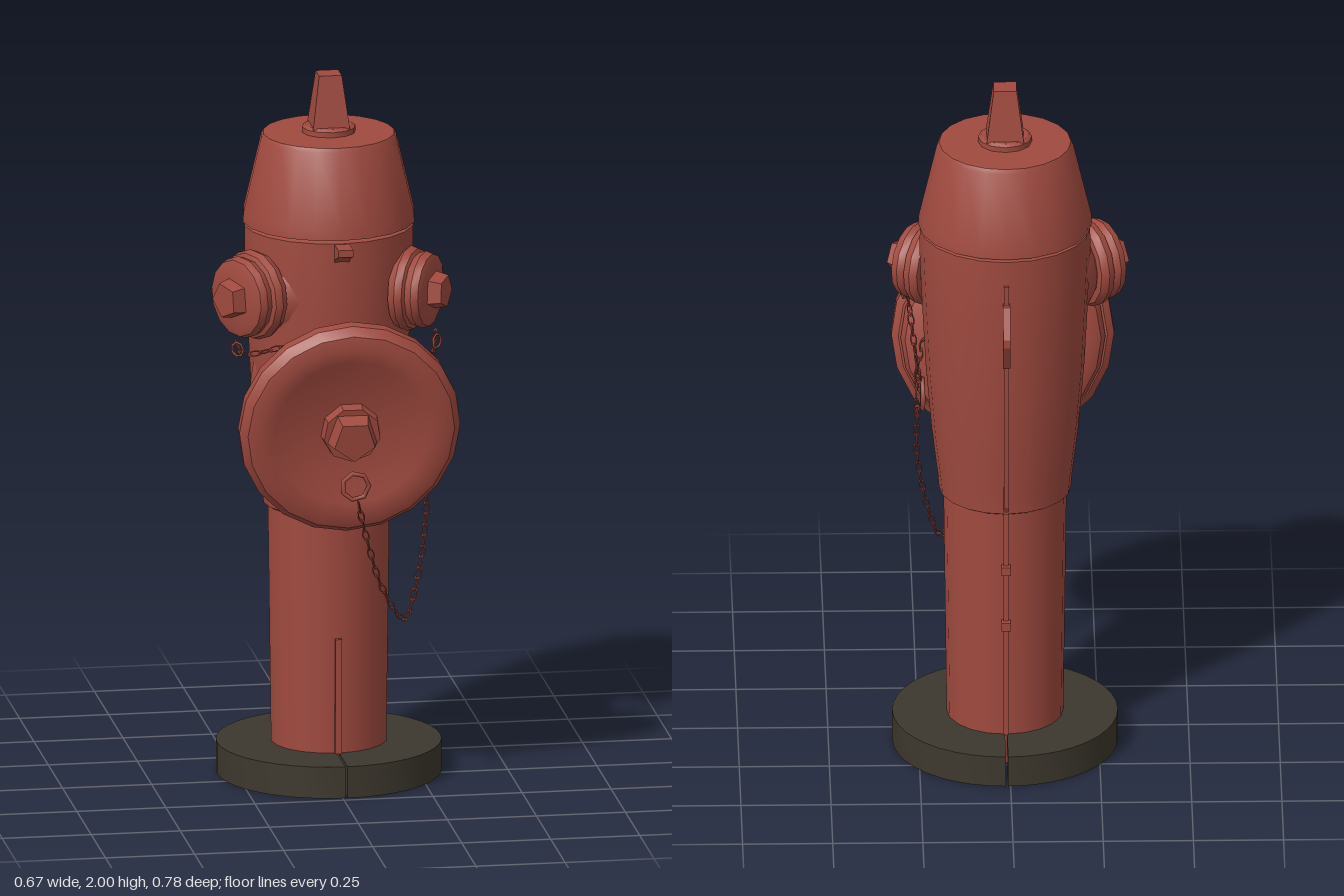
import * as THREE from 'three';
import { toCreasedNormals } from 'three/addons/utils/BufferGeometryUtils.js';

const CX = 0.01, CZ = -0.08; // vertical axis of the barrel
const UP = new THREE.Vector3(0, 1, 0);

export function createModel() {
  const root = new THREE.Group();
  root.name = 'fireHydrant';
  const red = new THREE.MeshStandardMaterial({ name: 'red paint', color: 0xa04a3f });
  const dark = new THREE.MeshStandardMaterial({ name: 'dark base', color: 0x3d382e });

  function add(parent, name, geometry, material = red, x = 0, y = 0, z = 0) {
    const mesh = new THREE.Mesh(geometry, material);
    mesh.name = name;
    mesh.position.set(x, y, z);
    parent.add(mesh);
    return mesh;
  }

  // Turned part with crisp edges; profile is [radius, height] from low to high
  function turned(profile, sides = 20) {
    const points = profile.map(([r, h]) => new THREE.Vector2(r, h));
    return toCreasedNormals(new THREE.LatheGeometry(points, sides), 0.6);
  }

  // Flat-faced prism or frustum standing on height h
  function prism(top, bottom, h, height, sides) {
    const g = new THREE.CylinderGeometry(top, bottom, height, sides);
    return toCreasedNormals(g.translate(0, h + height / 2, 0), 0.4);
  }

  // Plate outlined in [z, y], centred on the barrel's middle plane
  function plate(outline, width, hole) {
    const shape = new THREE.Shape(outline.map(([z, y]) => new THREE.Vector2(z, y)));
    if (hole) shape.holes.push(new THREE.Path().absarc(hole[0], hole[1], hole[2], 0, Math.PI * 2, true));
    const g = new THREE.ExtrudeGeometry(shape, { depth: width, bevelEnabled: false, curveSegments: 6 });
    return g.rotateY(-Math.PI / 2).translate(CX + width / 2, 0, 0);
  }

  // Base flange in two halves with a narrow split
  const half = new THREE.Shape();
  half.absarc(0, 0, 0.31, -Math.PI / 2, Math.PI / 2, false);
  half.absarc(0, 0, 0.155, Math.PI / 2, -Math.PI / 2, true);
  for (const side of [1, -1]) {
    const g = new THREE.ExtrudeGeometry(half, { depth: 0.09, bevelEnabled: false, curveSegments: 10 });
    g.rotateX(-Math.PI / 2);
    if (side < 0) g.rotateY(Math.PI);
    add(root, 'baseFlangeHalf', toCreasedNormals(g, 0.6), dark, CX + side * 0.003, 0, CZ);
  }

  // Barrel, bonnet and operating nut
  add(root, 'column', turned([[0, 0.002], [0.16, 0.002], [0.162, 0.1], [0.171, 0.8]]), red, CX, 0, CZ);
  add(root, 'upperBarrel', turned([[0.165, 0.765], [0.183, 0.775], [0.187, 0.82], [0.203, 0.95],
    [0.22, 1.15], [0.232, 1.38], [0.237, 1.5], [0.236, 1.572], [0.22, 1.577]]), red, CX, 0, CZ);
  add(root, 'bonnet', turned([[0.2, 1.578], [0.241, 1.582], [0.239, 1.61], [0.19, 1.82],
    [0.183, 1.832], [0, 1.834]]), red, CX, 0, CZ);
  add(root, 'bonnetWasher', turned([[0.075, 1.83], [0.075, 1.848], [0.065, 1.855], [0, 1.855]], 12), red, CX, 0, CZ);
  add(root, 'operatingNut', prism(0.045, 0.073, 1.85, 0.15, 4).rotateY(Math.PI / 4), red, CX, 0, CZ);

  // Casting seams, lugs and bumps
  add(root, 'frontSeam', plate([[0.06, 0.09], [0.093, 0.09], [0.099, 0.42], [0.07, 0.42]], 0.018));
  add(root, 'backSeam', plate([[-0.22, 0.09], [-0.248, 0.09], [-0.258, 0.77], [-0.275, 0.8], [-0.292, 0.96],
    [-0.309, 1.15], [-0.322, 1.4], [-0.325, 1.5], [-0.29, 1.5], [-0.23, 0.8]], 0.014));
  add(root, 'backLug', plate([[-0.3, 1.45], [-0.33, 1.44], [-0.372, 1.36], [-0.372, 1.335], [-0.325, 1.25],
    [-0.3, 1.25]], 0.02, [-0.342, 1.348, 0.014]));
  for (const y of [0.43, 0.6]) add(root, 'seamBump', new THREE.BoxGeometry(0.025, 0.025, 0.025), red, CX, y, -0.256);
  add(root, 'frontLug', plate([[0.11, 1.5], [0.15, 1.515], [0.165, 1.53], [0.22, 1.55], [0.22, 1.57],
    [0.12, 1.57]], 0.042));

  // Outlet group whose local y axis points outward
  function outlet(name, position, direction) {
    const group = new THREE.Group();
    group.name = name;
    group.position.set(...position);
    group.quaternion.setFromUnitVectors(UP, new THREE.Vector3(...direction).normalize());
    root.add(group);
    return group;
  }

  // Large front outlet, tilted slightly down
  const front = outlet('frontOutlet', [CX, 1.072, 0.325], [0, -0.156, 0.988]);
  add(front, 'outletNeck', turned([[0.225, -0.38], [0.205, -0.32], [0.195, -0.25], [0.197, -0.19], [0.22, -0.14]], 24));
  add(front, 'outletRing', turned([[0.19, -0.155], [0.24, -0.148], [0.272, -0.128], [0.284, -0.1],
    [0.275, -0.075], [0.25, -0.07]], 20));
  add(front, 'outletCap', turned([[0.24, -0.09], [0.29, -0.088], [0.309, -0.07], [0.31, -0.035], [0.29, -0.008],
    [0.255, 0.002], [0.215, -0.004], [0.16, -0.022], [0, -0.024]], 20));
  add(front, 'capNutBase', prism(0.08, 0.085, -0.03, 0.04, 9));
  add(front, 'capNut', prism(0.06, 0.075, 0, 0.058, 5));

  // Two side outlets
  for (const side of [1, -1]) {
    const size = side > 0 ? 0.94 : 1;
    const nozzle = outlet(side > 0 ? 'leftOutlet' : 'rightOutlet', [side * 0.273, 1.405, 0.07], [side * 0.85, 0, 0.5]);
    nozzle.scale.set(size, 1, size);
    add(nozzle, 'nozzleNeck', turned([[0.15, -0.15], [0.125, -0.115], [0.1, -0.09], [0.1, -0.06]], 14));
    add(nozzle, 'nozzleCap', turned([[0.09, -0.09], [0.118, -0.086], [0.127, -0.065], [0.12, -0.045],
      [0.108, -0.04], [0.115, -0.02], [0.108, 0], [0.085, 0.008], [0, 0.006]], 14));
    add(nozzle, 'nozzleNut', prism(0.05, 0.06, 0, 0.045, 5));
  }

  // Chain of alternating oval links along a curve
  function chain(name, points) {
    const group = new THREE.Group();
    group.name = name;
    const curve = new THREE.CatmullRomCurve3(points.map(p => new THREE.Vector3(...p)));
    const count = Math.round(curve.getLength() / 0.03);
    const link = new THREE.TorusGeometry(0.01, 0.0025, 4, 8).scale(0.8, 1.8, 1);
    for (let i = 0; i < count; i++) {
      const t = (i + 0.5) / count;
      const mesh = add(group, 'chainLink', link, red, ...curve.getPointAt(t).toArray());
      mesh.quaternion.setFromUnitVectors(UP, curve.getTangentAt(t));
      mesh.rotateY(i % 2 ? Math.PI / 2 : 0);
    }
    root.add(group);
  }
  chain('capChain', [[0.03, 0.87, 0.31], [0.06, 0.75, 0.285], [0.11, 0.6, 0.245], [0.18, 0.5, 0.19],
    [0.22, 0.6, 0.155], [0.25, 0.78, 0.125], [0.25, 0.93, 0.11]]);
  chain('leftOutletChain', [[0.28, 1.3, 0.11], [0.27, 1.22, 0.11], [0.255, 1.1, 0.095], [0.245, 1.01, 0.1]]);
  chain('rightOutletChain', [[-0.28, 1.29, 0.1], [-0.26, 1.26, 0.12], [-0.14, 1.285, 0.155], [0, 1.31, 0.185],
    [0.13, 1.265, 0.19], [0.22, 1.14, 0.18], [0.25, 0.98, 0.165], [0.25, 0.87, 0.15]]);

  // Rings that hold the chains
  add(root, 'capRing', new THREE.TorusGeometry(0.038, 0.007, 5, 7), red, 0.02, 0.92, 0.325);
  add(root, 'neckRing', new THREE.TorusGeometry(0.045, 0.007, 5, 8), red, 0.235, 0.97, 0.11).rotation.y = Math.PI / 2;
  for (const side of [1, -1]) {
    add(root, 'nozzleRing', new THREE.TorusGeometry(0.02, 0.004, 4, 7), red, side * 0.28, 1.275, 0.13).rotation.y = side * 0.8;
  }
  return root;
}
